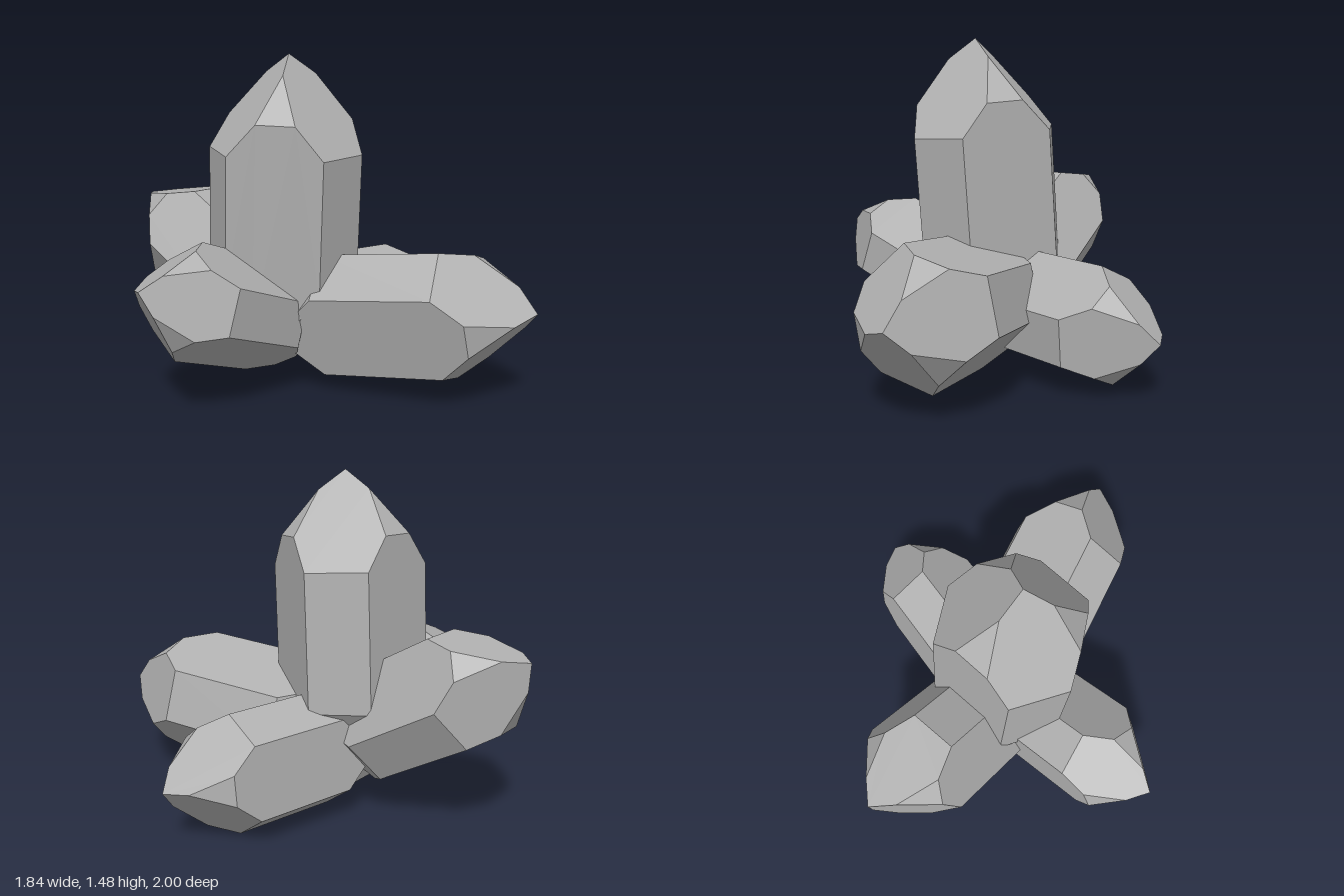
import * as THREE from 'three';
import { ConvexGeometry } from 'three/addons/geometries/ConvexGeometry.js';

// Unit crystal: a double-ended six-sided prism with alternating narrow and wide
// sides. Each end has three large facets (over narrow sides) meeting at the tip
// and three small triangular facets (over wide sides).
const NARROW = 0.32;     // axis to narrow side
const WIDE = 0.277;      // axis to wide side
const SLOPE = 1.32;      // facet drop per unit of radius
const TRIM = 0.085;      // how far the small facets cut the ridges
const HALF = 0.727;      // centre to tip

function crystalGeometry() {
  const points = [new THREE.Vector3(0, HALF, 0), new THREE.Vector3(0, -HALF, 0)];
  const c = Math.cos(Math.PI / 3), s = Math.sin(Math.PI / 3);
  const drop = SLOPE * WIDE - TRIM;
  const triangleHalf = (drop / SLOPE - WIDE * c) / s;
  const cornerHalf = (NARROW - WIDE * c) / s;
  // radius, sideways offset, drop below the tip
  const rule = [
    [(2 * TRIM) / SLOPE, 0, TRIM],
    [WIDE, triangleHalf, drop], [WIDE, -triangleHalf, drop],
    [WIDE, cornerHalf, SLOPE * NARROW], [WIDE, -cornerHalf, SLOPE * NARROW],
  ];
  for (let i = 0; i < 3; i++) {
    const a = Math.PI / 3 + (i * 2 * Math.PI) / 3;
    for (const [r, t, d] of rule) {
      const x = r * Math.sin(a) + t * Math.cos(a);
      const z = r * Math.cos(a) - t * Math.sin(a);
      for (const end of [1, -1]) points.push(new THREE.Vector3(x, end * (HALF - d), z));
    }
  }
  return new ConvexGeometry(points);
}

// Tip position, growth direction, direction of one narrow side, scale
const CRYSTALS = [
  { name: 'centralCrystal', tip: [-0.09, 1.5, -0.045], axis: [-0.035, 1, 0.065], side: [0, 0, 1], scale: 1 },
  { name: 'frontCrystal', tip: [0.28, 0.43, 1.0], axis: [0.27, 0.11, 1], side: [0.97, 0.26, 0], scale: 0.885 },
  { name: 'leftCrystal', tip: [0.915, 0.27, 0.075], axis: [1, -0.02, 0.21], side: [0, -0.1, 1], scale: 0.76 },
  { name: 'rightCrystal', tip: [-0.92, 0.585, -0.11], axis: [-0.94, 0.34, 0], side: [0, 0, 1], scale: 0.74 },
  { name: 'backCrystal', tip: [-0.07, 0.795, -1.0], axis: [-0.02, 0.5, -0.866], side: [0, 1, 0], scale: 0.79 },
];

export function createModel() {
  const group = new THREE.Group();
  group.name = 'crystalCluster';
  const stone = new THREE.MeshStandardMaterial({ color: 0xb0b0b0 });
  stone.name = 'grey stone';
  const geometry = crystalGeometry();

  for (const { name, tip, axis, side, scale } of CRYSTALS) {
    const y = new THREE.Vector3(...axis).normalize();
    const z = new THREE.Vector3(...side);
    z.addScaledVector(y, -z.dot(y)).normalize();
    const x = new THREE.Vector3().crossVectors(y, z);
    const mesh = new THREE.Mesh(geometry, stone);
    mesh.name = name;
    mesh.quaternion.setFromRotationMatrix(new THREE.Matrix4().makeBasis(x, y, z));
    mesh.scale.setScalar(scale);
    mesh.position.set(...tip).addScaledVector(y, -HALF * scale);
    group.add(mesh);
  }
  return group;
}
